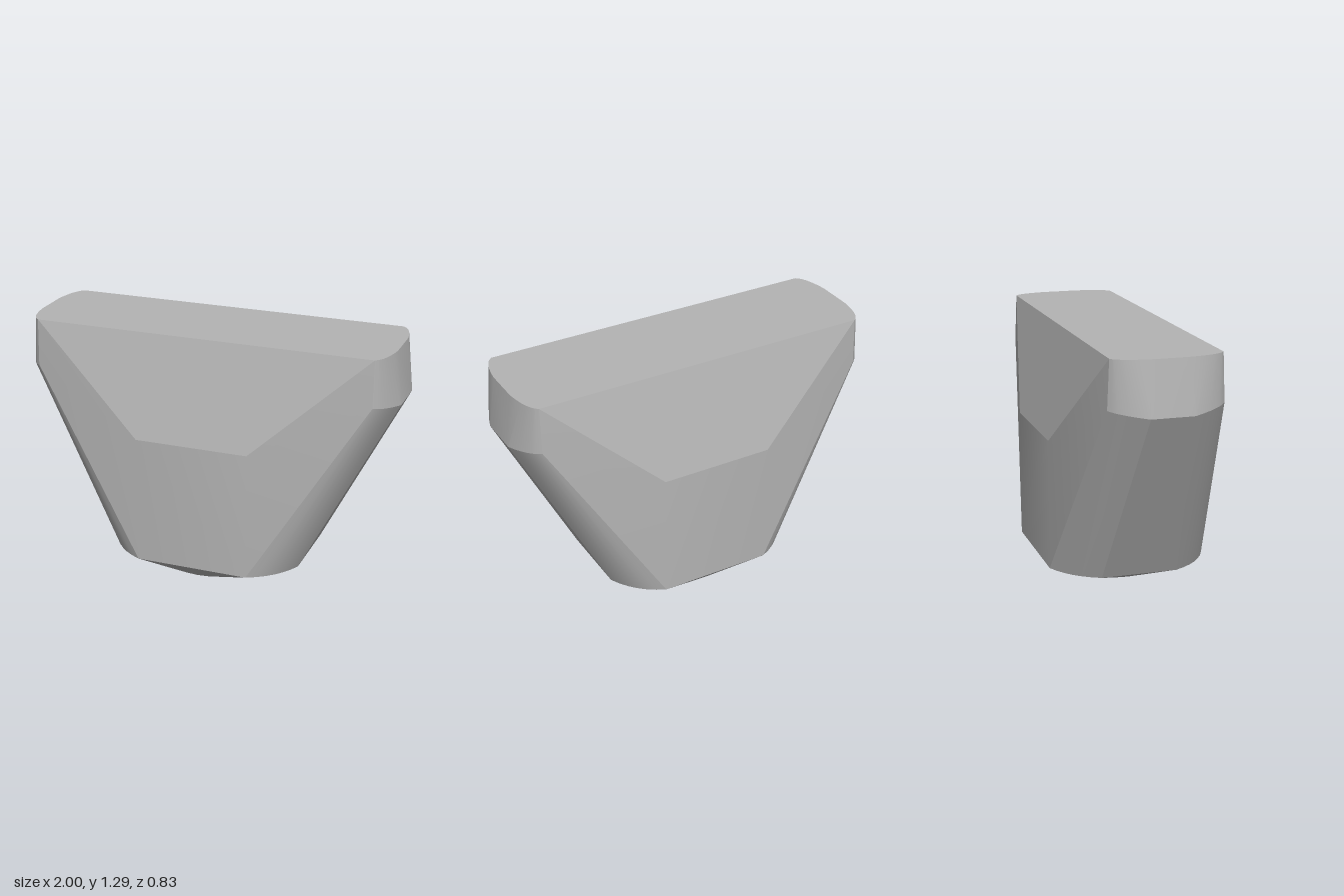
import * as THREE from 'three';
import { ConvexGeometry } from 'three/addons/geometries/ConvexGeometry.js';
import { toCreasedNormals } from 'three/addons/utils/BufferGeometryUtils.js';

const V = (x, y, z) => new THREE.Vector3(x, y, z);

// Points along a rounded corner, mirrored to all four corners
function corners(a, control, b, steps) {
  const curve = new THREE.QuadraticBezierCurve3(a, control, b);
  return curve.getPoints(steps).flatMap((p) =>
    [[1, 1], [1, -1], [-1, -1], [-1, 1]].map(([sx, sz]) => V(p.x * sx, p.y, p.z * sz)));
}

export function createModel() {
  const group = new THREE.Group();
  group.name = 'taperedBlock';
  const grey = new THREE.MeshStandardMaterial({ color: 0xb4b4b4 });
  grey.name = 'grey';

  const points = [
    // Flat top with bowed ends
    ...corners(V(0.9, 1.295, 0.28), V(0.95, 1.295, 0.25), V(0.967, 1.295, 0.1), 6),
    // Widest line, just below the top
    ...corners(V(0.9, 1.05, 0.29), V(0.96, 1.04, 0.25), V(1.0, 1.02, 0.11), 6),
    // Upper edge of the upright front and back panels
    ...corners(V(0.3, 0.76, 0.415), V(0.3, 0.76, 0.415), V(0.3, 0.76, 0.415), 1).slice(0, 4),
    // Lower edge above the chamfer
    ...corners(V(0.3, 0.08, 0.415), V(0.45, 0.08, 0.35), V(0.515, 0.08, 0.2), 6),
  ];

  // Round foot
  const sides = 32;
  for (let i = 0; i < sides; i++) {
    const t = (i / sides) * Math.PI * 2;
    points.push(V(Math.cos(t) * 0.335, 0, Math.sin(t) * 0.335));
  }

  const body = new THREE.Mesh(toCreasedNormals(new ConvexGeometry(points), 0.22), grey);
  body.name = 'body';
  group.add(body);
  return group;
}
